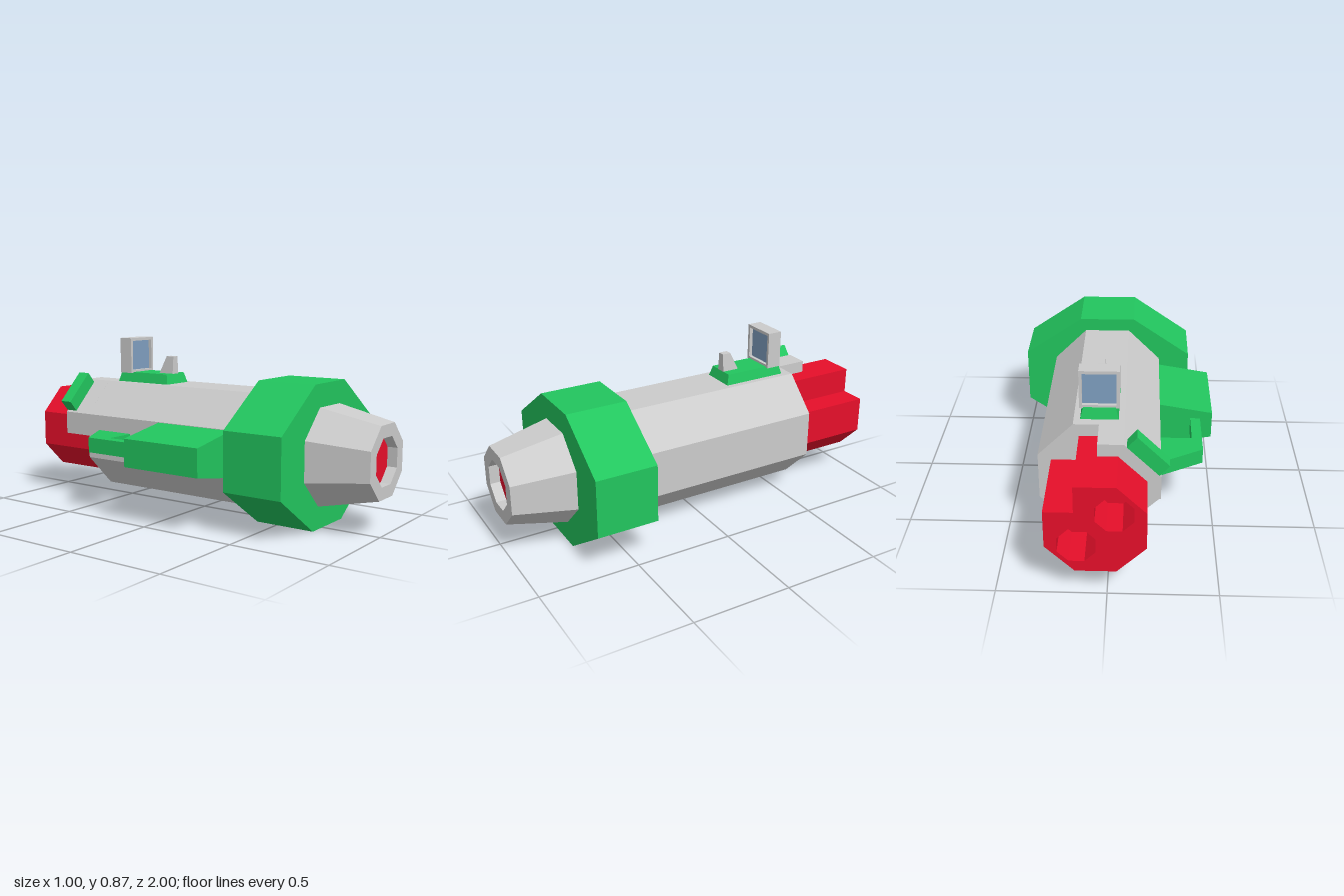
import * as THREE from 'three';

const CX = 0.05, CY = 0.35; // main barrel axis

const paint = (color) => new THREE.MeshStandardMaterial({ color, flatShading: true });

// Flat-topped octagon outline: h = half size, f = half length of each flat
function octagon(h, f = h * 0.4142, x = CX, y = CY) {
  return [[f, h], [-f, h], [-h, f], [-h, -f], [-f, -h], [f, -h], [h, -f], [h, f]]
    .map(([a, b]) => [x + a, y + b]);
}

const toPoints = (list) => list.map(([x, y]) => new THREE.Vector2(x, y));

// Straight prism of an outline between two z values
function prism(outline, z0, z1, holes = []) {
  const shape = new THREE.Shape(toPoints(outline));
  for (const h of holes) shape.holes.push(new THREE.Path(toPoints(h)));
  const geo = new THREE.ExtrudeGeometry(shape, { depth: z1 - z0, bevelEnabled: false });
  return geo.translate(0, 0, z0);
}

// Prism of an (x, z) outline between two heights
function slab(outline, y0, y1) {
  const geo = prism(outline.map(([x, z]) => [x, -z]), 0, y1 - y0);
  return geo.rotateX(-Math.PI / 2).translate(0, y0, 0);
}

// Box whose vertices are moved by a rule
function shapedBox(w, h, d, x, y, z, rule) {
  const geo = new THREE.BoxGeometry(w, h, d);
  const p = geo.attributes.position, v = new THREE.Vector3();
  for (let i = 0; i < p.count; i++) {
    v.fromBufferAttribute(p, i);
    rule(v);
    p.setXYZ(i, v.x, v.y, v.z);
  }
  geo.translate(x, y, z);
  geo.computeVertexNormals();
  return geo;
}

export function createModel() {
  const model = new THREE.Group();
  const grey = paint(0xcccccc), green = paint(0x22c55e);
  const red = paint(0xe60f2a), blue = paint(0x7f9fc0);
  const add = (name, geo, mat) => {
    const mesh = new THREE.Mesh(geo, mat);
    mesh.name = name;
    model.add(mesh);
  };

  // Barrel body, with its upper quarter carried further back
  add('body', prism(octagon(0.284), -0.6, 0.4), grey);
  add('bodyRearExtension', prism(
    [[CX, CY], [CX, 0.634], [-0.068, 0.634], [-0.234, 0.468], [-0.234, CY]], -0.765, -0.6), grey);

  // Wide front collar
  const collar = [[0.195, 0.7], [-0.095, 0.7], [-0.395, 0.495], [-0.395, 0.205],
    [-0.095, 0], [0.195, 0], [0.495, 0.205], [0.495, 0.495]];
  add('frontCollar', prism(collar, 0.39, 0.7), green);

  // Tapered muzzle with a recessed red core
  const r = (h) => h / Math.cos(Math.PI / 8);
  const profile = [[r(0.2375), 0.7], [r(0.175), 1], [r(0.114), 1], [r(0.114), 0.94]];
  const muzzle = new THREE.LatheGeometry(toPoints(profile), 8, Math.PI / 8);
  add('muzzle', muzzle.rotateX(Math.PI / 2).translate(CX, CY, 0), grey);
  add('muzzleCore', prism(octagon(0.116), 0.7, 0.95), red);

  // Red rear block: octagon with one corner cut square and two sockets
  const rear = octagon(0.223, 0.092);
  rear.push([CX + 0.092, CY + 0.092]);
  const sockets = [-1, 1].map((s) => octagon(0.085, 0.035, CX + s * 0.083, CY - s * 0.083));
  add('rearBlock', prism(rear, -1, -0.8, sockets), red);
  add('rearBlockBase', prism(rear, -0.8, -0.6), red);

  // Side grip block, narrowing outward
  add('sideGrip', shapedBox(0.27, 0.14, 0.44, -0.365, CY, 0.1, (v) => {
    if (v.x > 0) v.y *= 1.65;
  }), green);

  // Bent bracket joining the grip to the body
  add('gripBracket', slab([[-0.44, -0.1], [-0.39, -0.1], [-0.39, -0.31], [-0.22, -0.31],
    [-0.22, -0.535], [-0.44, -0.41]], 0.312, 0.388), green);

  // Small bar on the sloping rear facet
  add('rearClip', prism([[-0.08, 0.622], [-0.125, 0.675], [-0.27, 0.53], [-0.225, 0.477]],
    -0.768, -0.7), green);

  // Sight: sloped base, front post and framed screen
  add('sightBase', shapedBox(0.178, 0.055, 0.34, 0.05, 0.6585, -0.385, (v) => {
    if (v.y > 0) { v.x *= 0.84; v.z *= 0.91; }
  }), green);
  add('sightPost', shapedBox(0.05, 0.095, 0.09, 0.051, 0.73, -0.275, (v) => {
    if (v.y > 0) {
      v.x *= 0.7;
      if (v.z < 0) v.z += 0.045;
    }
  }), grey);
  const rect = (x0, x1, y0, y1) => [[x0, y0], [x1, y0], [x1, y1], [x0, y1]];
  add('screenFrame', prism(rect(-0.042, 0.143, 0.682, 0.87), -0.535, -0.46,
    [rect(-0.027, 0.129, 0.697, 0.855)]), grey);
  add('screen', prism(rect(-0.03, 0.132, 0.694, 0.858), -0.517, -0.478), blue);

  return model;
}
